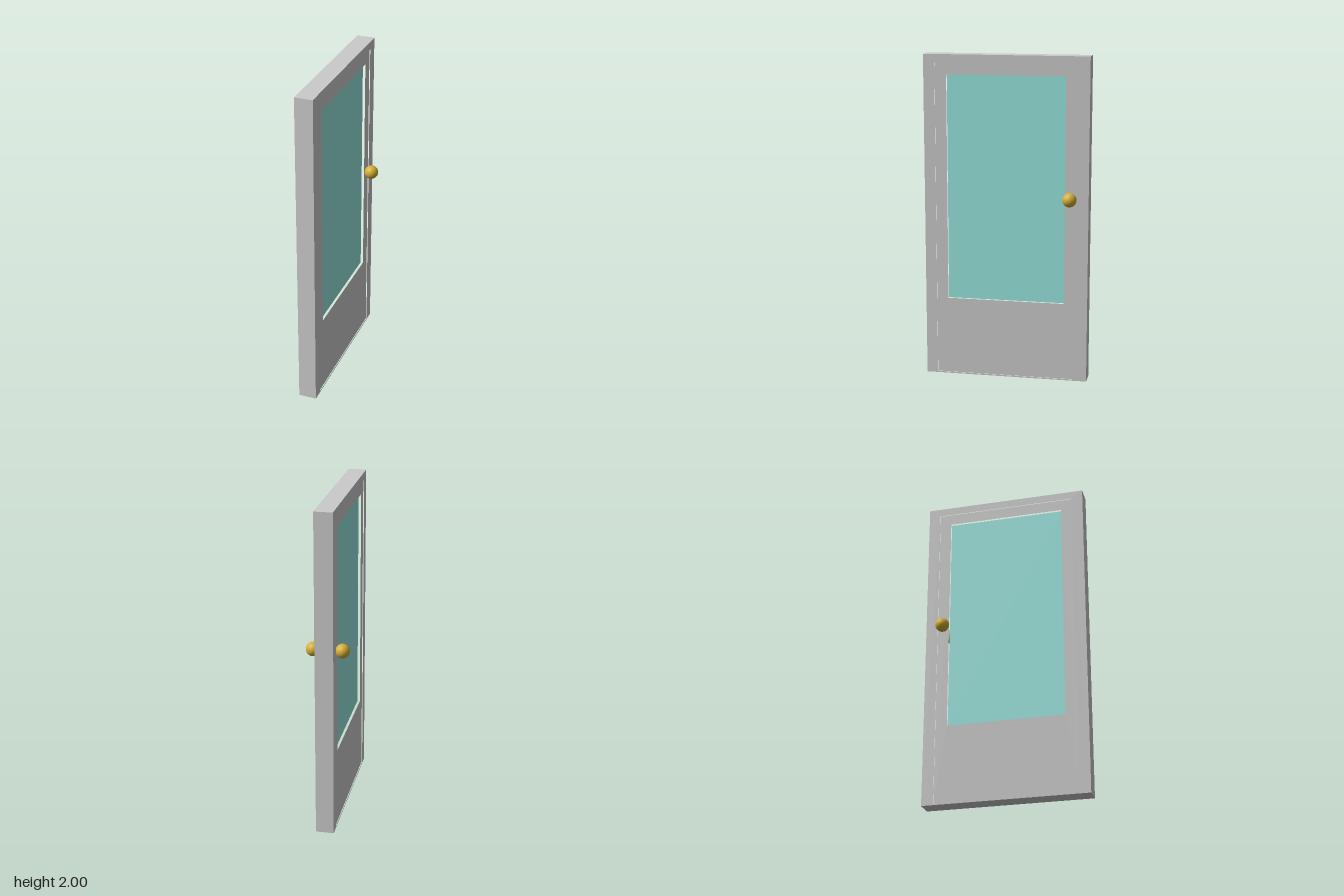
import * as THREE from 'three';

const grey = new THREE.MeshStandardMaterial({ color: 0xcccccc });
const teal = new THREE.MeshStandardMaterial({ color: 0x97e6df });
const gold = new THREE.MeshStandardMaterial({ color: 0xd4af37 });

// Rectangular panel in the z-y plane with one rectangular opening, centred on x = 0.
function panel(name, thickness, outer, hole) {
  const trace = (path, [z0, z1, y0, y1]) => path
    .moveTo(-z0, y0).lineTo(-z1, y0).lineTo(-z1, y1).lineTo(-z0, y1).closePath();
  const shape = new THREE.Shape();
  trace(shape, outer);
  const opening = new THREE.Path();
  trace(opening, hole);
  shape.holes.push(opening);
  const geometry = new THREE.ExtrudeGeometry(shape, { depth: thickness, bevelEnabled: false });
  geometry.translate(0, 0, -thickness / 2).rotateY(Math.PI / 2);
  const mesh = new THREE.Mesh(geometry, grey);
  mesh.name = name;
  return mesh;
}

export function createModel() {
  const group = new THREE.Group();
  group.name = 'door';

  // Surrounding frame with jambs, header and a thin sill
  const leafArea = [-0.432, 0.436, 0.008, 1.95];
  group.add(panel('doorFrame', 0.11, [-0.505, 0.505, 0, 2], leafArea));

  // Door leaf, set slightly back from the frame on both faces
  const windowArea = [-0.36, 0.365, 0.49, 1.88];
  group.add(panel('doorLeaf', 0.1, leafArea, windowArea));

  // Window pane recessed inside the leaf
  const [z0, z1, y0, y1] = windowArea;
  const pane = new THREE.Mesh(new THREE.BoxGeometry(0.068, y1 - y0, z1 - z0), teal);
  pane.name = 'windowPane';
  pane.position.set(0, (y0 + y1) / 2, (z0 + z1) / 2);
  group.add(pane);

  // A round knob on each face
  for (const side of [-1, 1]) {
    const knob = new THREE.Mesh(new THREE.SphereGeometry(0.043, 32, 20), gold);
    knob.name = side > 0 ? 'leftKnob' : 'rightKnob';
    knob.position.set(side * 0.087, 1.147, -0.393);
    group.add(knob);
  }
  return group;
}
